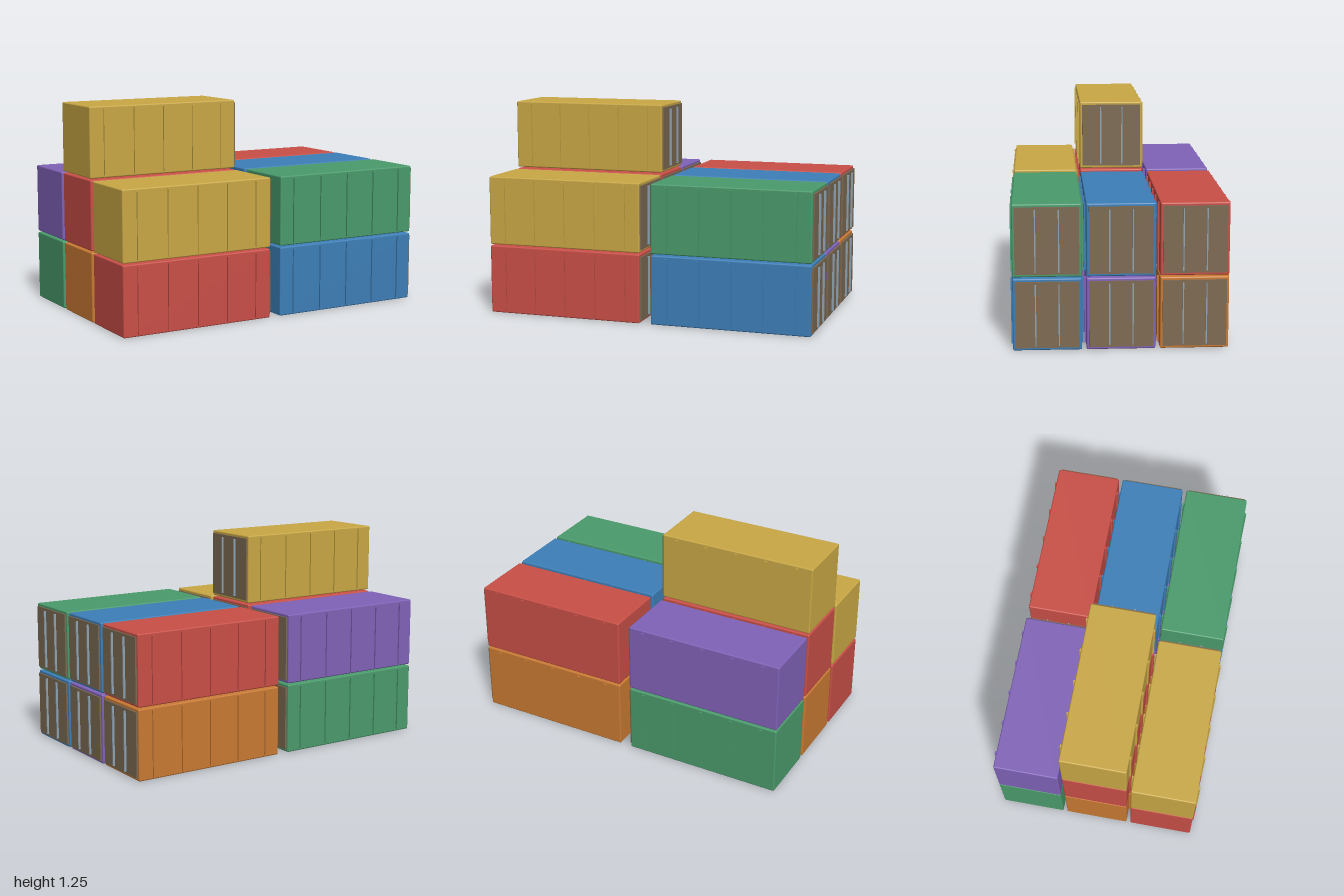
import * as THREE from 'three';
import { RoundedBoxGeometry } from 'three/addons/geometries/RoundedBoxGeometry.js';

const LENGTH = 0.953, HEIGHT = 0.411, DEPTH = 0.384;
const PITCH_Y = 0.42, PITCH_Z = 0.409;

function material(name, color) {
  const m = new THREE.MeshStandardMaterial({ color });
  m.name = name;
  return m;
}

function addMesh(parent, name, geometry, mat, x, y, z) {
  const mesh = new THREE.Mesh(geometry, mat);
  mesh.name = name;
  mesh.position.set(x, y, z);
  parent.add(mesh);
}

export function createModel() {
  const paint = {
    yellow: material('yellow paint', 0xc9a845),
    red: material('red paint', 0xc94f47),
    green: material('green paint', 0x4a9b6c),
    blue: material('blue paint', 0x3d7fb8),
    purple: material('purple paint', 0x8062b8),
    orange: material('orange paint', 0xc97a33),
  };
  const doorPaint = material('brown door', 0x7d6a52);
  const steel = material('steel', 0x8fa3b3);

  // Geometries shared by every container
  const bodyGeo = new RoundedBoxGeometry(LENGTH, HEIGHT, DEPTH, 2, 0.008);
  const ribGeo = new THREE.BoxGeometry(0.016, 0.383, 0.02);
  const doorGeo = new THREE.BoxGeometry(0.02, 0.378, 0.356);
  const barGeo = new THREE.BoxGeometry(0.014, 0.35, 0.007);

  // One container: ribs on both long sides, door with lock bars on the +x end
  function container(mat) {
    const group = new THREE.Group();
    addMesh(group, 'body', bodyGeo, mat, 0, 0, 0);
    for (let i = -2; i <= 2; i++) {
      for (const side of [-1, 1]) {
        addMesh(group, 'rib', ribGeo, mat, i * 0.191, 0, side * (DEPTH / 2));
      }
    }
    addMesh(group, 'door', doorGeo, doorPaint, LENGTH / 2, 0, 0);
    for (const side of [-1, 1]) {
      addMesh(group, 'lockBar', barGeo, steel, LENGTH / 2 + 0.0155, 0, side * 0.065);
    }
    return group;
  }

  // Stacks: x centre, row (+1 is front), colours from the ground up
  const stacks = [
    [-0.5235, 1, ['red', 'yellow']],
    [-0.5235, 0, ['orange', 'red', 'yellow']],
    [-0.5235, -1, ['green', 'purple']],
    [0.4995, 1, ['blue', 'green']],
    [0.4995, 0, ['purple', 'blue']],
    [0.4995, -1, ['orange', 'red']],
  ];

  const model = new THREE.Group();
  model.name = 'containerStacks';
  for (const [x, row, colours] of stacks) {
    colours.forEach((colour, level) => {
      const box = container(paint[colour]);
      box.name = colour + 'Container';
      box.position.set(x, HEIGHT / 2 + level * PITCH_Y, row * PITCH_Z);
      model.add(box);
    });
  }
  return model;
}
